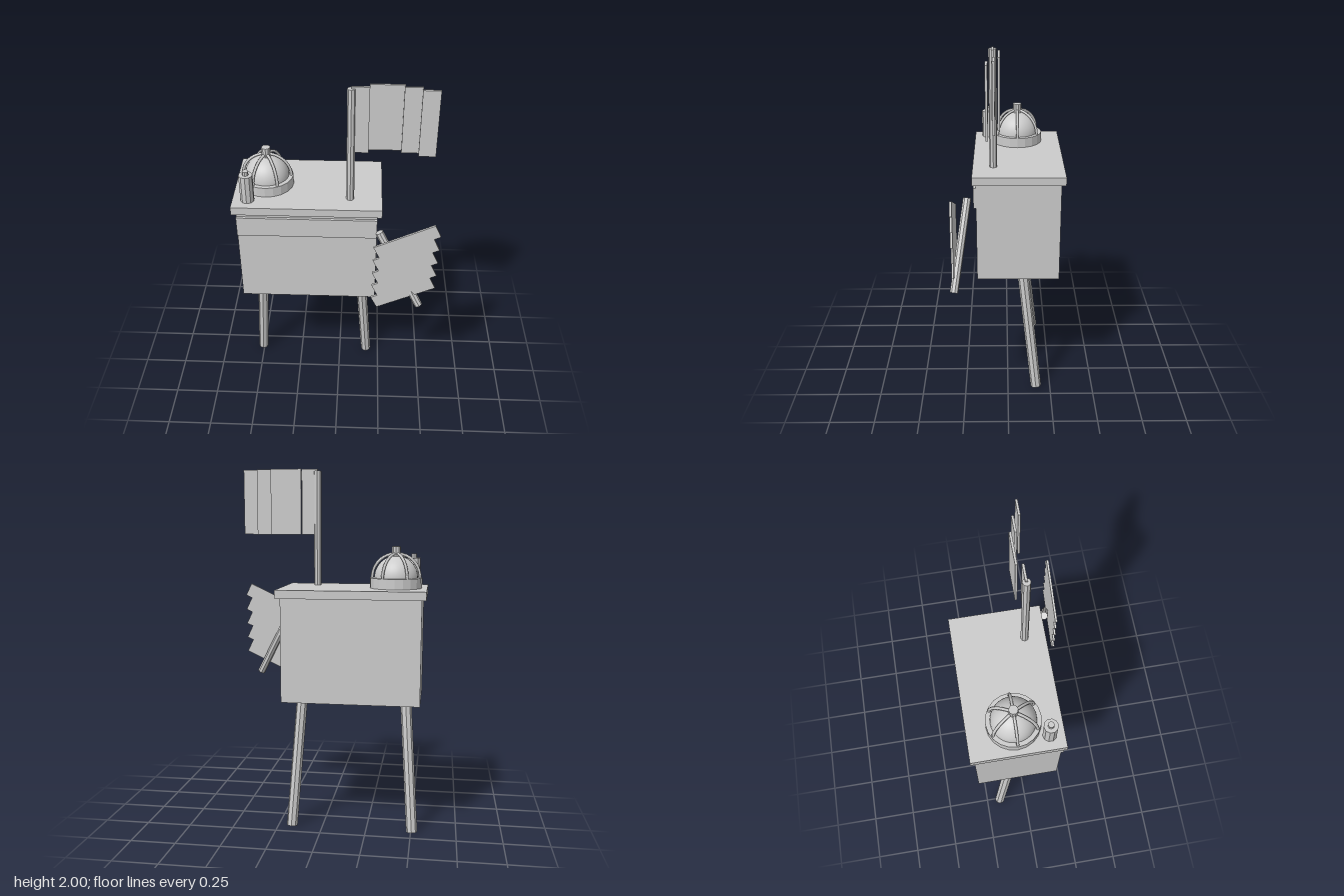
import * as THREE from 'three';

const grey = new THREE.MeshStandardMaterial({ color: 0xcccccc });
grey.name = 'plain grey';
const flatGrey = grey;

function add(parent, name, geometry, x = 0, y = 0, z = 0) {
  const mesh = new THREE.Mesh(geometry, flatGrey);
  mesh.name = name;
  mesh.position.set(x, y, z);
  parent.add(mesh);
  return mesh;
}

// Box given by its min and max corners
function box(parent, name, [x0, y0, z0], [x1, y1, z1]) {
  return add(parent, name, new THREE.BoxGeometry(x1 - x0, y1 - y0, z1 - z0),
    (x0 + x1) / 2, (y0 + y1) / 2, (z0 + z1) / 2);
}

// Upright cylinder with faceted sides
function post(parent, name, r, y0, y1, x, z, sides = 8) {
  const g = new THREE.CylinderGeometry(r, r, y1 - y0, sides).toNonIndexed();
  g.computeVertexNormals();
  return add(parent, name, g, x, (y0 + y1) / 2, z);
}

// Faceted rod between two points
function rod(parent, name, r, from, to) {
  const a = new THREE.Vector3(...from), b = new THREE.Vector3(...to);
  const dir = b.clone().sub(a);
  const mesh = post(parent, name, r, 0, dir.length(), 0, 0);
  mesh.position.copy(a).add(b).multiplyScalar(0.5);
  mesh.quaternion.setFromUnitVectors(new THREE.Vector3(0, 1, 0), dir.normalize());
  return mesh;
}

export function createModel() {
  const model = new THREE.Group();
  model.name = 'boxOnLegs';

  // Cabinet with overhanging lid and front band
  box(model, 'body', [-0.54, 0.748, -0.283], [0.206, 1.312, 0.17]);
  box(model, 'lid', [-0.563, 1.312, -0.305], [0.23, 1.357, 0.19]);
  box(model, 'frontBand', [-0.54, 1.175, 0.17], [0.206, 1.288, 0.184]);

  // Two splayed legs leaning back
  rod(model, 'rightLeg', 0.031, [-0.506, 0.005, -0.167], [-0.455, 0.78, -0.08]);
  rod(model, 'leftLeg', 0.031, [0.172, 0.005, -0.167], [0.121, 0.78, -0.08]);

  // Ribbed dome on a collar
  const dome = new THREE.Group();
  dome.name = 'dome';
  dome.position.set(-0.392, 1.357, -0.058);
  model.add(dome);
  post(dome, 'domeCollar', 0.142, 0, 0.055, 0, 0, 20);
  add(dome, 'domeShell', new THREE.SphereGeometry(0.118, 32, 12, 0, Math.PI * 2, 0, Math.PI / 2), 0, 0.055, 0);
  for (let i = 0; i < 6; i++) {
    const rib = add(dome, 'domeRib', new THREE.TorusGeometry(0.13, 0.008, 6, 12, Math.PI / 2), 0, 0.055, 0);
    rib.rotation.y = i * Math.PI / 3;
  }
  post(dome, 'domeKnob', 0.024, 0.165, 0.223, 0, 0, 10);

  // Small stack beside the dome
  post(model, 'stack', 0.037, 1.357, 1.512, -0.482, 0.112, 10);
  post(model, 'stackCap', 0.016, 1.512, 1.535, -0.482, 0.112);

  // Flag made of staggered upright slabs
  post(model, 'flagPole', 0.021, 1.357, 1.99, 0.06, 0.078);
  const slabs = [[0.06, 0.149, 0.077], [0.148, 0.32, 0.046], [0.315, 0.404, 0.071], [0.4, 0.488, 0.103]];
  for (const [x0, x1, z] of slabs) {
    box(model, 'flagSlab', [x0, 1.64, z - 0.006], [x1, 2, z + 0.006]);
  }

  // Arm holding a plate with stepped edges
  rod(model, 'arm', 0.022, [0.217, 1.24, 0.215], [0.447, 0.8, 0.284]);
  const steps = 5, rise = 0.077, shift = 0.038, length = 0.345;
  const right = [], left = [];
  for (let i = 0; i < steps; i++) {
    for (const k of [i, i + 1]) {
      right.push(new THREE.Vector2(-shift * i, -rise * k));
      left.unshift(new THREE.Vector2(-shift * i - length, -rise * k));
    }
  }
  const plate = add(model, 'steppedPlate',
    new THREE.ExtrudeGeometry(new THREE.Shape([...right, ...left]), { depth: 0.012, bevelEnabled: false }),
    0.5, 1.341, 0.277);
  plate.rotation.z = 0.443;

  return model;
}
